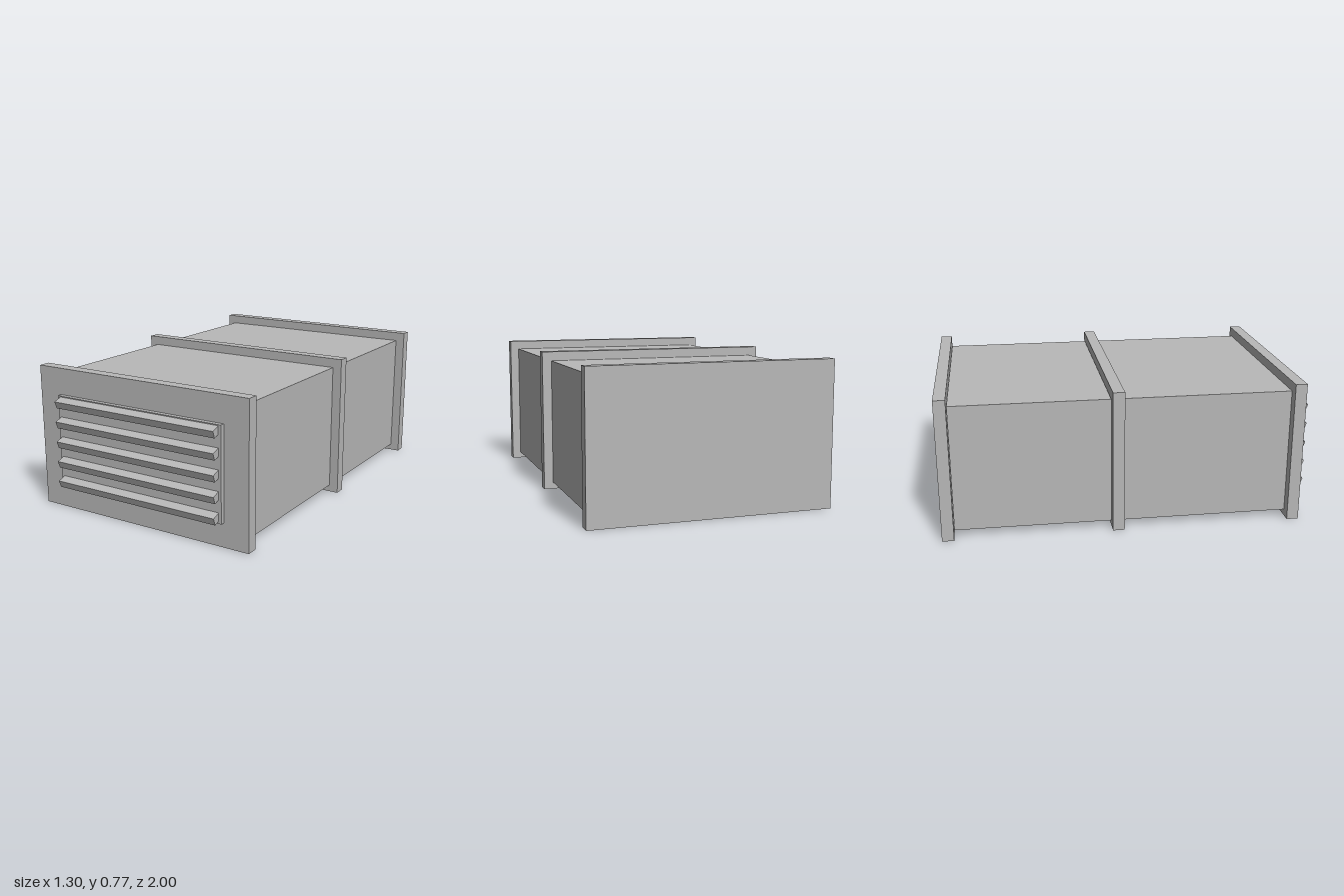
import * as THREE from 'three';

export function createModel() {
  const group = new THREE.Group();
  const metal = new THREE.MeshStandardMaterial({ color: 0xb8b8b8 });

  // Box given by its size and centre
  function box(name, w, h, d, x, y, z) {
    const mesh = new THREE.Mesh(new THREE.BoxGeometry(w, h, d), metal);
    mesh.name = name;
    mesh.position.set(x, y, z);
    group.add(mesh);
    return mesh;
  }

  // Two duct sections, running between the flanges
  box('frontDuct', 1.2, 0.687, 0.9, 0, 0.38, 0.415);
  box('rearDuct', 1.2, 0.687, 0.835, 0, 0.38, -0.5175);

  // Flanges at front, middle and back
  const flangeHeight = 0.773, flangeDepth = 0.063;
  [['frontFlange', 0.8985], ['middleFlange', -0.0665], ['rearFlange', -0.9685]].forEach(([name, z]) =>
    box(name, 1.3, flangeHeight, flangeDepth, 0, flangeHeight / 2, z));

  // Grille plate
  box('grillePlate', 1.02, 0.5, 0.03, 0, 0.38, 0.94);

  // Louvre slats, tilted with the outer edge down
  const tilt = THREE.MathUtils.degToRad(20), thick = 0.04, depth = 0.06;
  const s = Math.sin(tilt), c = Math.cos(tilt);
  for (let i = 0; i < 5; i++) {
    const topEdge = 0.171 + i * 0.1093; // outer upper edge, at z = 1
    const y = topEdge + s * depth / 2 - c * thick / 2;
    const z = 1 - c * depth / 2 - s * thick / 2;
    box('louvreSlat' + (i + 1), 0.99, thick, depth, 0, y, z).rotation.x = tilt;
  }

  return group;
}
